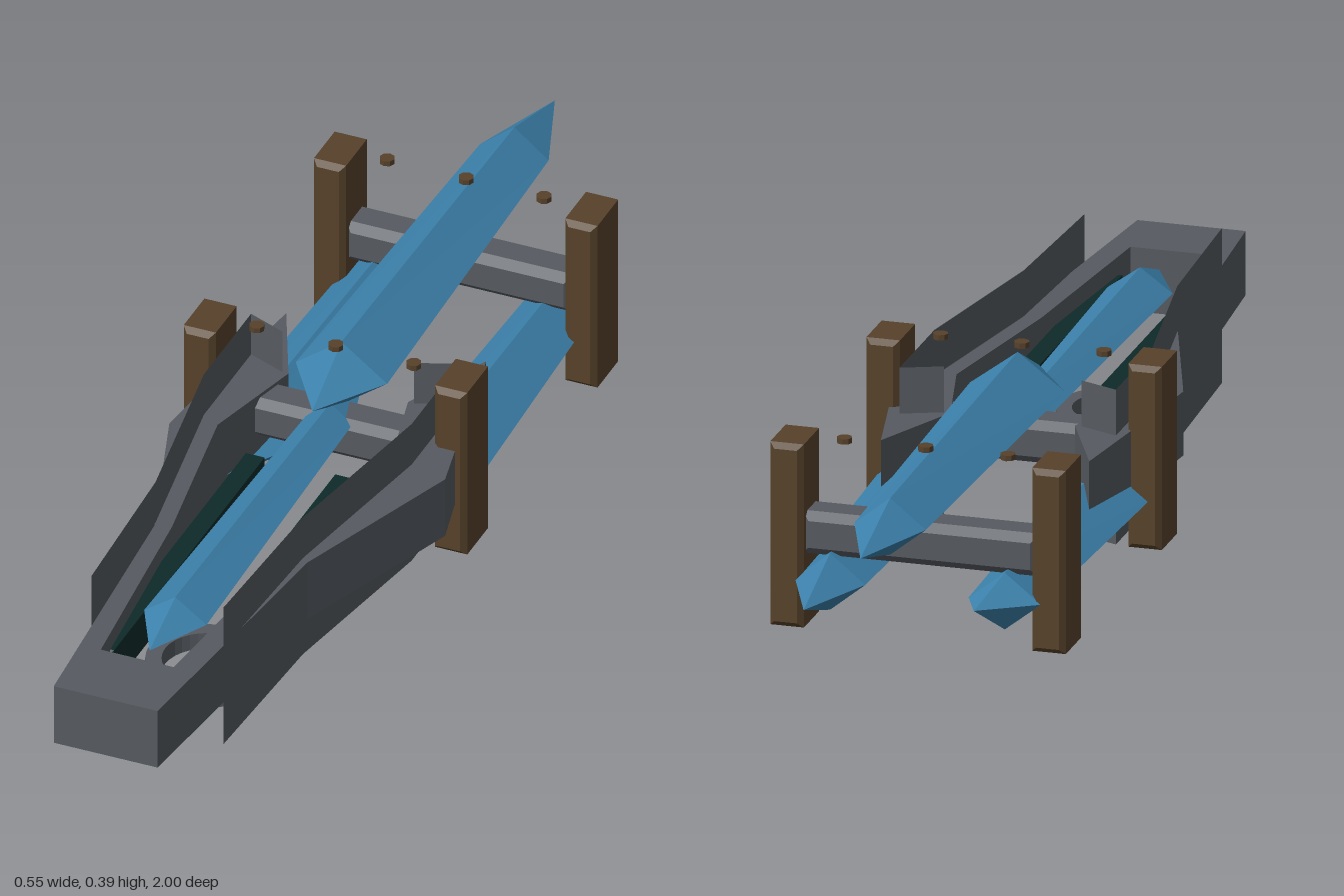
import * as THREE from 'three';

const mat = (name, color, opts = {}) => {
  const m = new THREE.MeshStandardMaterial({ color, flatShading: true, ...opts });
  m.name = name;
  return m;
};

// Box with every edge cut at an angle, centred on the origin
function chamferBox(w, h, d, b) {
  const x = w / 2 - b, y = h / 2 - b;
  const shape = new THREE.Shape([[-x, -y], [x, -y], [x, y], [-x, y]].map(p => new THREE.Vector2(...p)));
  const geo = new THREE.ExtrudeGeometry(shape, {
    depth: d - 2 * b, bevelSize: b, bevelThickness: b, bevelSegments: 1,
  });
  return geo.translate(0, 0, b - d / 2);
}

// Four-sided shard: front tip, two diamond rings, back tip.
// Each section is [x, y, z, half width, half height], from front to back.
function shardGeometry(sections) {
  const rings = sections.map(([x, y, z, w, h]) => [[x + w, y, z], [x, y + h, z], [x - w, y, z], [x, y - h, z]]);
  const pos = [];
  for (let i = 0; i < rings.length - 1; i++) {
    const a = rings[i], b = rings[i + 1];
    for (let k = 0; k < 4; k++) {
      const n = (k + 1) % 4;
      if (sections[i][3] > 0) pos.push(...a[k], ...b[k], ...a[n]);
      if (sections[i + 1][3] > 0) pos.push(...a[n], ...b[k], ...b[n]);
    }
  }
  const geo = new THREE.BufferGeometry();
  geo.setAttribute('position', new THREE.Float32BufferAttribute(pos, 3));
  geo.computeVertexNormals();
  return geo;
}

// Upright sheet following a path of [x, z] points
function sheetGeometry(path, y0, y1) {
  const pos = [];
  for (let i = 0; i < path.length - 1; i++) {
    const [ax, az] = path[i], [bx, bz] = path[i + 1];
    pos.push(ax, y0, az, bx, y0, bz, bx, y1, bz, ax, y0, az, bx, y1, bz, ax, y1, az);
  }
  const geo = new THREE.BufferGeometry();
  geo.setAttribute('position', new THREE.Float32BufferAttribute(pos, 3));
  geo.computeVertexNormals();
  return geo;
}

export function createModel() {
  const model = new THREE.Group();
  const blue = mat('crystalBlue', 0x3d83ae);
  const grey = mat('ironGrey', 0x565b61);
  const greySheet = grey;
  greySheet.side = THREE.DoubleSide;
  const brown = mat('darkWood', 0x57422a);
  const green = mat('deepGreen', 0x0e2a2a);

  const add = (name, geo, material, x = 0, y = 0, z = 0) => {
    const mesh = new THREE.Mesh(geo, material);
    mesh.name = name;
    mesh.position.set(x, y, z);
    model.add(mesh);
    return mesh;
  };

  // Forked frame: front block with two swept arms ending in prongs
  const outline = [
    [-0.1, 1], [0.1, 1], [0.155, 0.46], [0.273, 0.12], [0.19, -0.255], [0.115, -0.08],
    [0.165, 0.12], [0.11, 0.45], [0.07, 0.86], [-0.07, 0.86], [-0.11, 0.45], [-0.165, 0.12],
    [-0.115, -0.08], [-0.195, -0.255], [-0.235, 0.05], [-0.245, 0.15], [-0.14, 0.46],
  ];
  const frame = new THREE.ExtrudeGeometry(
    new THREE.Shape(outline.map(([x, z]) => new THREE.Vector2(x, -z))),
    { depth: 0.12, bevelEnabled: false });
  frame.rotateX(-Math.PI / 2).translate(0, 0.142, 0);
  const p = frame.attributes.position;
  for (let i = 0; i < p.count; i++) {
    // prong undersides rise towards the tip
    if (p.getZ(i) < -0.2 && p.getY(i) < 0.2) p.setY(i, 0.172);
  }
  frame.computeVertexNormals();
  add('forkedFrame', frame, grey);

  // Rear crossbars, posts and studs
  for (const z of [-0.605, -0.025]) {
    add('crossbar', chamferBox(0.44, 0.08, 0.08, 0.015), grey, 0, 0.215, z);
    for (const s of [-1, 1]) {
      add('post', chamferBox(0.062, 0.343, 0.112, 0.01), brown, s * 0.242, 0.2135, z);
    }
    for (const x of [-0.152, 0, 0.15]) {
      add('stud', new THREE.CylinderGeometry(0.014, 0.014, 0.01, 8), brown, x, 0.385, z);
    }
  }

  // Side sheets and the rods inside them
  for (const s of [-1, 1]) {
    const path = [[0.127, 0.77], [0.142, 0.45], [0.2, 0.1], [0.2, -0.11], [0.127, -0.08]];
    add('sideSheet', sheetGeometry(path.map(([x, z]) => [s * x, z]), 0.058, 0.348), greySheet);
    add('innerRod', chamferBox(0.036, 0.075, 0.69, 0.01), green, s * 0.086, 0.19, 0.47);
  }

  // Crystal shards
  add('upperShard', shardGeometry([
    [0, 0.31, 0.08, 0, 0], [0, 0.312, -0.05, 0.088, 0.066],
    [0, 0.31, -0.82, 0.066, 0.053], [0, 0.31, -1, 0, 0],
  ]), blue);
  add('frontShard', shardGeometry([
    [0, 0.245, 0.805, 0, 0], [0, 0.245, 0.69, 0.06, 0.043],
    [0, 0.245, 0, 0.043, 0.033], [0, 0.245, -0.15, 0, 0],
  ]), blue);
  add('lowerLeftShard', shardGeometry([
    [0.163, 0.133, 0.08, 0, 0], [0.166, 0.133, -0.06, 0.085, 0.066],
    [0.163, 0.133, -0.65, 0.065, 0.053], [0.163, 0.133, -0.81, 0, 0],
  ]), blue);
  add('lowerRightShard', shardGeometry([
    [-0.163, 0.133, 0.08, 0, 0], [-0.166, 0.133, -0.06, 0.085, 0.066],
    [-0.163, 0.133, -0.66, 0.067, 0.053], [-0.13, 0.138, -0.74, 0, 0],
  ]), blue);

  // Trigger guard ring and trigger
  const ring = new THREE.Shape();
  ring.absarc(0, 0, 0.109, 0, Math.PI * 2);
  const hole = new THREE.Path();
  hole.absarc(0, 0, 0.08, 0, Math.PI * 2);
  ring.holes.push(hole);
  const guard = new THREE.ExtrudeGeometry(ring, { depth: 0.033, bevelEnabled: false, curveSegments: 16 });
  guard.rotateX(-Math.PI / 2);
  add('triggerGuard', guard, grey, 0, 0.04, 0.55);
  add('trigger', chamferBox(0.025, 0.09, 0.02, 0.006), brown, 0, 0.045, 0.468);

  return model;
}
